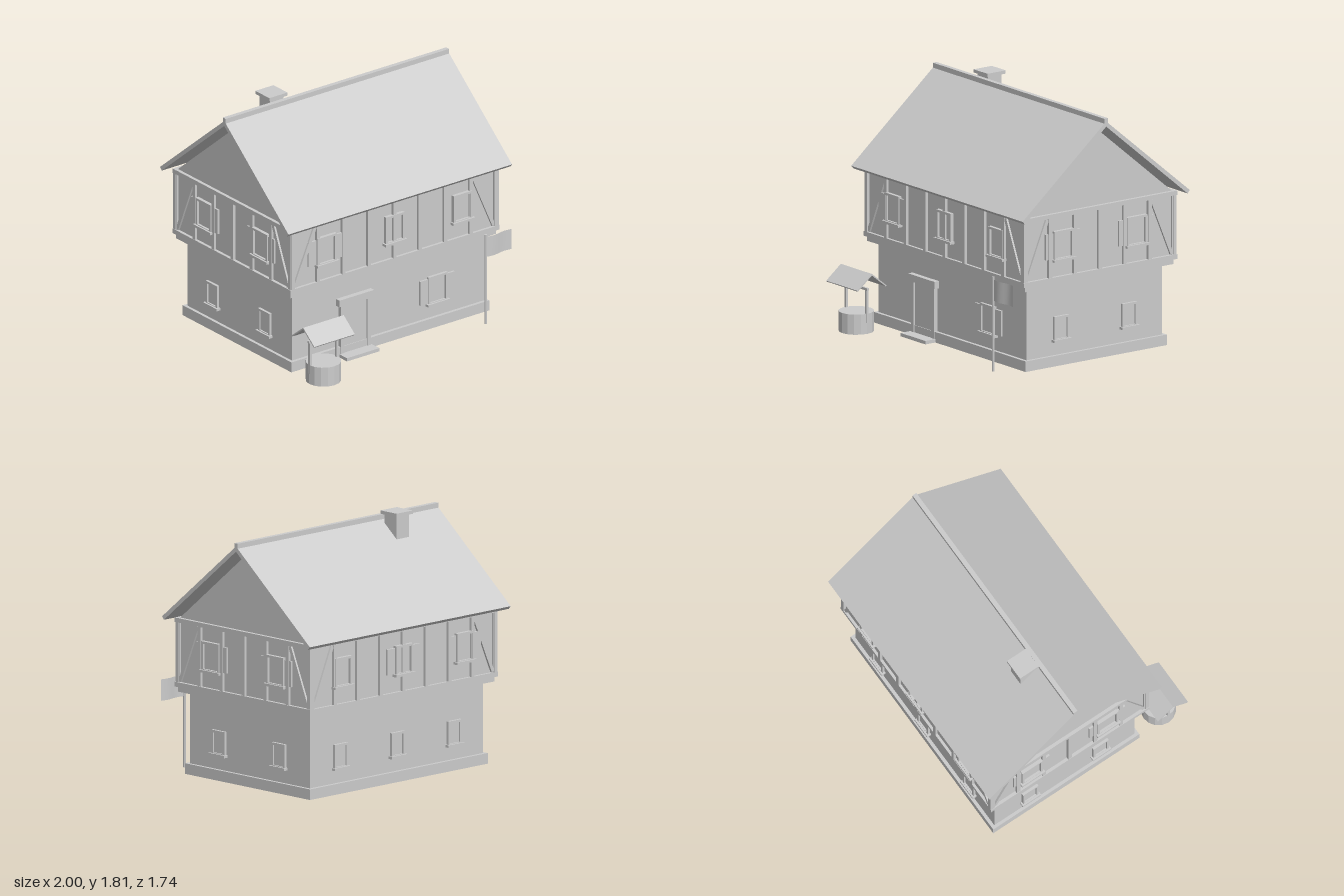
import * as THREE from 'three';

const plaster = new THREE.MeshStandardMaterial({ color: 0xcccccc });
plaster.name = 'plain grey';
const thinGrey = plaster; // one colour throughout
thinGrey.side = THREE.DoubleSide;

function add(parent, name, geometry, x = 0, y = 0, z = 0) {
  const mesh = new THREE.Mesh(geometry, plaster);
  mesh.name = name;
  mesh.position.set(x, y, z);
  parent.add(mesh);
  return mesh;
}

// Box given by its centre in x and z, and by its bottom and top
function block(parent, name, w, y0, y1, d, x = 0, z = 0) {
  return add(parent, name, new THREE.BoxGeometry(w, y1 - y0, d), x, (y0 + y1) / 2, z);
}

function group(parent, name) {
  const g = new THREE.Group();
  g.name = name;
  parent.add(g);
  return g;
}

// Prism along x from a [z, y] outline
function prism(parent, name, points, length, x = 0, z = 0) {
  const shape = new THREE.Shape(points.map(([a, b]) => new THREE.Vector2(-a, b)));
  const geo = new THREE.ExtrudeGeometry(shape, { depth: length, bevelEnabled: false });
  geo.translate(0, 0, -length / 2);
  geo.rotateY(Math.PI / 2);
  return add(parent, name, geo, x, 0, z);
}

// Window on a wall lying in the local plane z = 0
function windowUnit(parent, x, y0, w, h, out, shutter = 0) {
  const g = group(parent, 'window');
  g.position.set(x, y0, 0);
  const bar = 0.017;
  const rect = (Type, hw, a, b) => new Type([[-hw, a], [hw, a], [hw, b], [-hw, b]].map((p) => new THREE.Vector2(...p)));
  const shape = rect(THREE.Shape, w / 2, 0, h);
  shape.holes.push(rect(THREE.Path, w / 2 - bar, bar, h - bar));
  add(g, 'windowFrame', new THREE.ExtrudeGeometry(shape, { depth: out, bevelEnabled: false }));
  block(g, 'windowPane', w - 0.02, 0.01, h - 0.01, 0.008, 0, 0.004);
  block(g, 'windowSill', w + 0.025, -0.006, 0.012, out + 0.014, 0, (out + 0.014) / 2);
  if (shutter) {
    for (const s of [-1, 1]) block(g, 'shutter', shutter, 0.015, h - 0.015, 0.015, s * (w + shutter) / 2, 0.0075);
  }
}

// Posts and corner braces on one side of the upper storey
function timbers(parent, half, bays) {
  const step = (2 * half) / bays;
  for (let i = 0; i <= bays; i++) block(parent, 'post', 0.03, 0.66, 1.105, 0.04, -half + i * step, 0);
  for (const s of [-1, 1]) {
    const dx = step - 0.045, dy = 0.42;
    const brace = block(parent, 'brace', 0.026, 0, Math.hypot(dx, dy), 0.03, s * (half - step / 2), 0);
    brace.position.y = 0.885;
    brace.rotation.z = s * Math.atan2(dx, dy);
  }
}

export function createModel() {
  const model = new THREE.Group();
  model.name = 'timberHouse';
  const house = group(model, 'house');
  house.position.z = -0.123;

  // Storeys
  block(house, 'plinth', 1.77, 0, 0.077, 1.26);
  block(house, 'groundFloor', 1.724, 0.077, 0.595, 1.21);
  block(house, 'jettySlab', 1.84, 0.595, 0.632, 1.326);
  block(house, 'upperFloor', 1.824, 0.632, 1.13, 1.326);
  prism(house, 'gable', [[0.655, 1.13], [0, 1.675], [-0.655, 1.13]], 1.82);

  // Horizontal beams round the upper storey
  for (const [y0, y1] of [[0.632, 0.667], [1.1, 1.132]]) {
    for (const s of [-1, 1]) {
      block(house, 'longBeam', 1.872, y0, y1, 0.04, 0, s * 0.663);
      block(house, 'sideBeam', 0.04, y0, y1, 1.366, s * 0.915, 0);
    }
  }

  // Walls: front, left, back, right
  [0, 1, 2, 3].forEach((i) => {
    const side = i % 2 === 1;
    const upper = group(house, 'upperWallDetails');
    const ground = group(house, 'groundWallDetails');
    const a = (i * Math.PI) / 2;
    const place = (g, d) => { g.rotation.y = a; g.position.set(Math.sin(a) * d, 0, Math.cos(a) * d); };
    place(upper, side ? 0.912 : 0.663);
    place(ground, side ? 0.862 : 0.605);
    timbers(upper, side ? 0.665 : 0.912, side ? 6 : 8);
    if (side) {
      for (const s of [-1, 1]) {
        windowUnit(upper, s * 0.326, 0.785, 0.175, 0.217, 0.026, 0.067);
        windowUnit(ground, s * 0.303, 0.18, 0.132, 0.18, 0.02);
      }
    } else {
      const shutters = i === 0 ? [0.078, 0, 0] : [0, 0.078, 0.078];
      [-0.607, 0, 0.607].forEach((x, k) => windowUnit(upper, x, 0.785, 0.168, 0.217, 0.026, shutters[k]));
      if (i === 2) for (const x of [-0.565, 0, 0.565]) windowUnit(ground, x, 0.18, 0.132, 0.18, 0.02);
      else {
        windowUnit(ground, 0.43, 0.18, 0.17, 0.217, 0.022, 0.068);
        // Door
        const door = group(ground, 'door');
        door.position.x = -0.312;
        block(door, 'doorLeaf', 0.21, 0.025, 0.395, 0.03, 0, 0.005);
        for (const s of [-1, 1]) block(door, 'doorJamb', 0.032, 0, 0.395, 0.06, s * 0.118, 0);
        block(door, 'doorLintel', 0.31, 0.395, 0.447, 0.08, 0, 0);
        block(door, 'doorStep', 0.29, 0, 0.025, 0.115, 0, 0.057);
      }
    }
  });

  // Roof with its ridge, standing clear of the gables
  prism(house, 'roof', [[0.745, 1.14], [0, 1.758], [-0.745, 1.14], [-0.725, 1.118], [0, 1.72], [0.725, 1.118]], 2);
  block(house, 'ridgeBeam', 2, 1.738, 1.78, 0.034);

  // Chimney
  block(house, 'chimneyShaft', 0.122, 1.48, 1.79, 0.122, -0.497, -0.105);
  block(house, 'chimneyCap', 0.162, 1.788, 1.812, 0.162, -0.497, -0.105);

  // Well
  const well = group(model, 'well');
  well.position.set(-0.781, 0, 0.743);
  add(well, 'wellBasin', new THREE.CylinderGeometry(0.127, 0.127, 0.147, 16).toNonIndexed(), 0, 0.0735, 0)
    .geometry.computeVertexNormals();
  for (const s of [-1, 1]) block(well, 'wellPost', 0.018, 0.08, 0.335, 0.018, s * 0.12, 0);
  block(well, 'wellCrossbar', 0.275, 0.318, 0.336, 0.018);
  prism(well, 'wellRoof', [[0.13, 0.347], [0, 0.45], [-0.13, 0.347], [-0.125, 0.339], [0, 0.438], [0.125, 0.339]], 0.363);

  // Flagpole and flag
  add(model, 'flagpole', new THREE.CylinderGeometry(0.01, 0.01, 0.69, 8), 0.725, 0.345, 0.673);
  const cloth = new THREE.PlaneGeometry(0.225, 0.155, 8, 1);
  const p = cloth.attributes.position;
  for (let i = 0; i < p.count; i++) p.setZ(i, 0.008 * Math.sin((p.getX(i) / 0.225 + 0.5) * Math.PI * 2));
  cloth.computeVertexNormals();
  add(model, 'flag', cloth, 0.845, 0.592, 0.673);

  return model;
}
